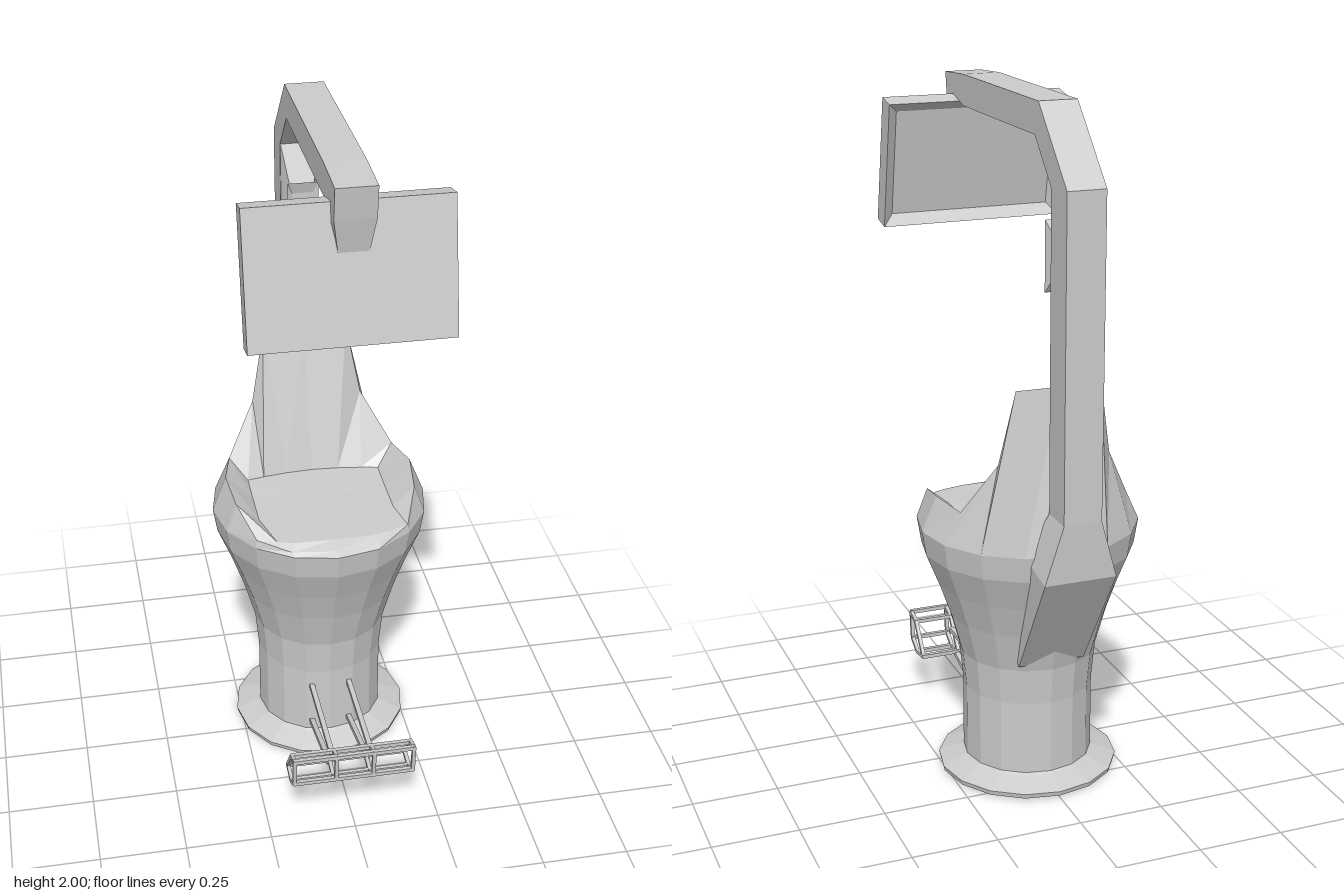
import * as THREE from 'three';

const V = (x, y, z) => new THREE.Vector3(x, y, z);
const material = new THREE.MeshStandardMaterial({ color: 0xcccccc, flatShading: true });

function part(name, geometry) {
  const mesh = new THREE.Mesh(geometry, material);
  mesh.name = name;
  return mesh;
}

// Skins a stack of rings (counter-clockwise seen from the far end), with optional caps.
function loft(rings, capStart = true, capEnd = true) {
  const pos = [];
  const tri = (...pts) => pts.forEach((p) => pos.push(p.x, p.y, p.z));
  const n = rings[0].length;
  for (let i = 0; i < rings.length - 1; i++) {
    for (let j = 0; j < n; j++) {
      const k = (j + 1) % n, a = rings[i], b = rings[i + 1];
      tri(a[j], a[k], b[k]);
      tri(a[j], b[k], b[j]);
    }
  }
  const cap = (ring, flip) => {
    const c = ring.reduce((s, p) => s.add(p), V(0, 0, 0)).divideScalar(n);
    ring.forEach((p, j) => {
      const q = ring[(j + 1) % n];
      flip ? tri(c, q, p) : tri(c, p, q);
    });
  };
  if (capStart) cap(rings[0], true);
  if (capEnd) cap(rings[rings.length - 1], false);
  const g = new THREE.BufferGeometry();
  g.setAttribute('position', new THREE.Float32BufferAttribute(pos, 3));
  g.computeVertexNormals();
  return g;
}

// Upright rectangle facing +z
const rect = (w, y0, y1, z) => [V(-w, y0, z), V(w, y0, z), V(w, y1, z), V(-w, y1, z)];

// Square bar between two points
function bar(name, a, b, t) {
  const mesh = part(name, new THREE.BoxGeometry(t, t, a.distanceTo(b) + t * 0.6));
  mesh.position.copy(a).add(b).multiplyScalar(0.5);
  mesh.lookAt(b);
  return mesh;
}

export function createModel() {
  const group = new THREE.Group();
  const cz = -0.085; // pedestal axis

  // Pedestal with base disc
  const profile = [[0, 0], [0.262, 0.006], [0.265, 0.02], [0.2, 0.045], [0.19, 0.05], [0.19, 0.27],
    [0.2, 0.38], [0.233, 0.5], [0.268, 0.6], [0.308, 0.7], [0.32, 0.775]];
  const pedestal = part('pedestal', new THREE.LatheGeometry(profile.map((p) => new THREE.Vector2(...p)), 16));
  pedestal.position.z = cz;
  group.add(pedestal);

  // Seat: side ridges rise into the backrest. Half rings run from front to back.
  const outer = [], ridge = [], inner = [];
  for (let i = 0; i <= 8; i++) {
    const a = (i * Math.PI) / 8;
    outer.push([0.32 * Math.sin(a), 0.775, cz + 0.32 * Math.cos(a)]);
  }
  ridge.push([0, 0.785, 0.215], [0.13, 0.785, 0.195], [0.222, 0.8, 0.138], [0.265, 0.86, 0.03],
    [0.278, 0.88, -0.09], [0.25, 0.87, -0.215], [0.165, 1.02, -0.285], [0.125, 1.235, -0.315],
    [0, 1.235, -0.32]);
  inner.push([0, 0.8, 0.175], [0.11, 0.8, 0.172], [0.165, 0.8, 0.16], [0.2, 0.805, 0.04],
    [0.2, 0.805, -0.09], [0.2, 0.81, -0.175], [0.15, 0.81, -0.185], [0.08, 0.81, -0.195],
    [0, 0.81, -0.2]);
  const mirrorRing = (half) => [
    ...half.map((p) => V(...p)),
    ...half.slice(1, -1).reverse().map(([x, y, z]) => V(-x, y, z)),
  ];
  group.add(part('seatAndBackrest', loft([outer, ridge, inner].map(mirrorRing), false, true)));

  // Overhead arm: [inner z, inner y, outer z, outer y, half width]
  const arm = [
    [-0.25, 0.42, -0.275, 0.4, 0.1],
    [-0.33, 0.76, -0.48, 0.73, 0.105],
    [-0.385, 0.9, -0.49, 0.9, 0.055],
    [-0.385, 1.79, -0.49, 1.8, 0.055],
    [-0.27, 1.91, -0.295, 2.0, 0.055],
    [0.28, 1.91, 0.28, 2.0, 0.055],
    [0.37, 1.935, 0.432, 1.99, 0.055],
    [0.385, 1.88, 0.42, 1.9, 0.055],
    [0.38, 1.8, 0.4, 1.8, 0.04],
  ].map(([iz, iy, oz, oy, w]) => [V(-w, iy, iz), V(w, iy, iz), V(w, oy, oz), V(-w, oy, oz)]);
  group.add(part('overheadArm', loft(arm)));

  // Tilted screen with a recessed face towards the seat
  const screen = part('screen', loft([
    rect(0.243, -0.157, 0.157, -0.008),
    rect(0.273, -0.187, 0.187, -0.033),
    rect(0.273, -0.187, 0.187, 0.033),
  ]));
  screen.position.set(-0.007, 1.743, 0.38);
  screen.rotation.x = -0.2;
  group.add(screen);

  // Head mount on the column: wedge, flared plate and knob
  group.add(part('mountWedge', loft([rect(0.055, 1.4, 1.8, -0.388), rect(0.035, 1.52, 1.68, -0.34)])));
  group.add(part('mountPlate', loft([rect(0.032, 1.54, 1.66, -0.345), rect(0.045, 1.5, 1.695, -0.32),
    rect(0.03, 1.54, 1.66, -0.33)])));
  const knob = part('mountKnob', new THREE.CylinderGeometry(0.018, 0.018, 0.07, 8));
  knob.rotation.x = Math.PI / 2;
  knob.position.set(0, 1.603, -0.3);
  group.add(knob);

  // Footrest: three-cell cage of bars, carried by struts
  const footrest = new THREE.Group();
  footrest.name = 'footrest';
  const section = [[0.265, 0.492], [0.25, 0.447], [0.158, 0.375], [0.15, 0.435], [0.178, 0.483]];
  const ribs = [-0.178, -0.055, 0.055, 0.172];
  section.forEach(([y, z], i) => {
    const [y2, z2] = section[(i + 1) % section.length];
    footrest.add(bar('footrestRail', V(ribs[0], y, z), V(ribs[3], y, z), 0.012));
    ribs.forEach((x) => footrest.add(bar('footrestRib', V(x, y, z), V(x, y2, z2), 0.011)));
  });
  for (const x of [-0.055, 0.06]) {
    footrest.add(bar('upperStrut', V(x, 0.215, 0.07), V(x, 0.215, 0.42), 0.015));
    footrest.add(bar('lowerStrut', V(x, 0.073, 0.07), V(x, 0.15, 0.375), 0.015));
  }
  group.add(footrest);

  return group;
}
